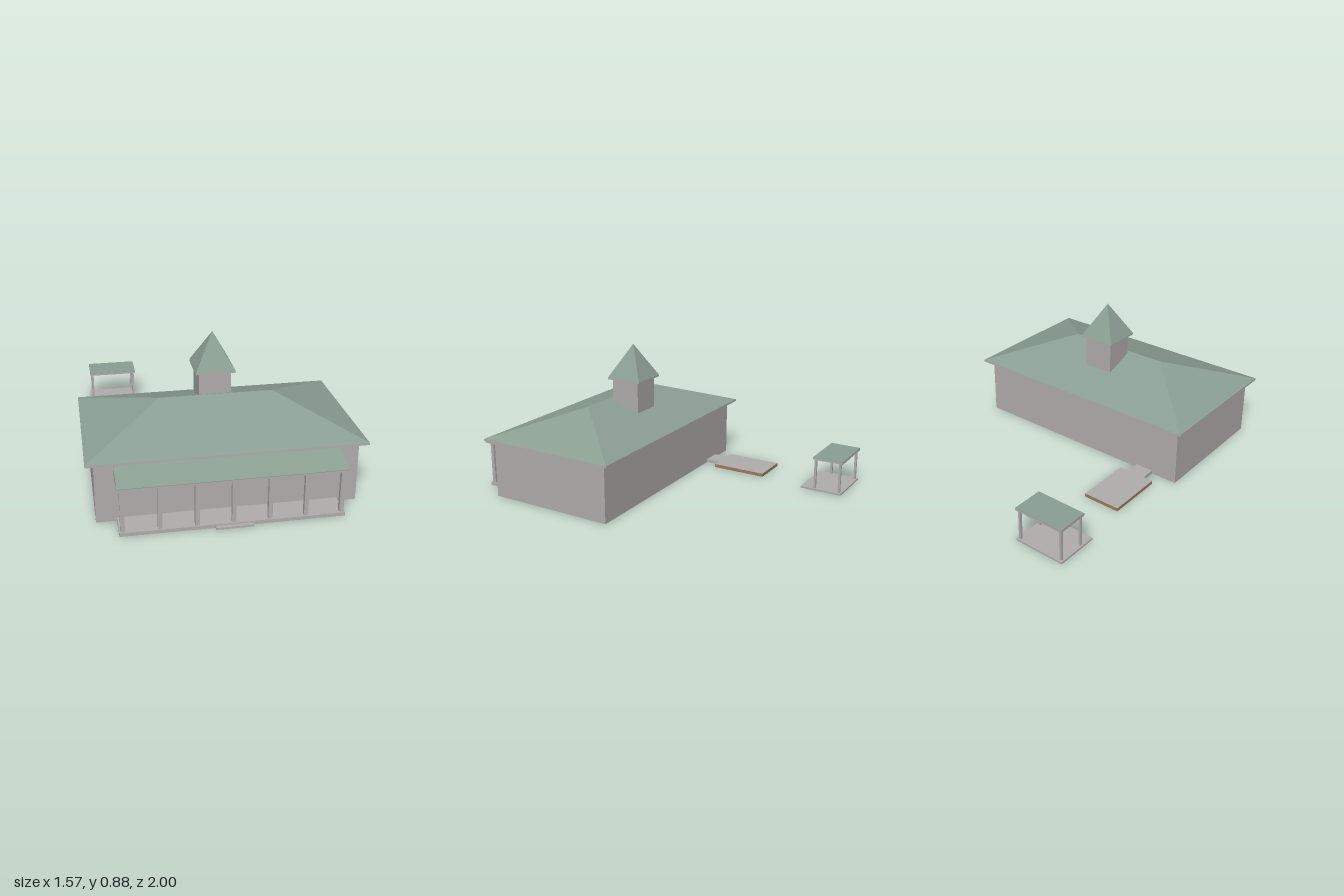
import * as THREE from 'three';
import { ConvexGeometry } from 'three/addons/geometries/ConvexGeometry.js';

export function createModel() {
  const model = new THREE.Group();
  const material = (name, color) => {
    const m = new THREE.MeshStandardMaterial({ color });
    m.name = name;
    return m;
  };
  const grey = material('warmGrey', 0xb1aeac);
  const green = material('roofGreen', 0x8b9f93);
  const brown = material('woodBrown', 0x9c7c5c);

  const group = (name) => {
    const g = new THREE.Group();
    g.name = name;
    model.add(g);
    return g;
  };
  const add = (parent, name, geometry, mat) => {
    const mesh = new THREE.Mesh(geometry, mat);
    mesh.name = name;
    parent.add(mesh);
    return mesh;
  };
  // Box given by its limits on each axis
  const box = (parent, name, [x0, x1], [y0, y1], [z0, z1], mat) => {
    const mesh = add(parent, name, new THREE.BoxGeometry(x1 - x0, y1 - y0, z1 - z0), mat);
    mesh.position.set((x0 + x1) / 2, (y0 + y1) / 2, (z0 + z1) / 2);
    return mesh;
  };
  // Flat-faced solid around a few corner points
  const hull = (parent, name, points, mat) =>
    add(parent, name, new ConvexGeometry(points.map((p) => new THREE.Vector3(...p))), mat);
  // Rectangular ring, open at top and bottom; corners run counter-clockwise
  const ring = (parent, name, outer, inner, y0, y1, mat) => {
    const corners = ([x0, x1, z0, z1]) =>
      [[x0, -z1], [x1, -z1], [x1, -z0], [x0, -z0]].map((p) => new THREE.Vector2(...p));
    const shape = new THREE.Shape(corners(outer));
    shape.holes.push(new THREE.Path(corners(inner)));
    const geo = new THREE.ExtrudeGeometry(shape, { depth: y1 - y0, bevelEnabled: false });
    geo.rotateX(-Math.PI / 2);
    geo.translate(0, y0, 0);
    return add(parent, name, geo, mat);
  };
  const rectangle = (x, z0, z1, y) => [[-x, y, z0], [x, y, z0], [x, y, z1], [-x, y, z1]];

  // Main hall: hollow walls, eave fascia and hipped roof
  const hall = group('hall');
  ring(hall, 'walls', [-0.74, 0.74, 0, 0.815], [-0.737, 0.737, 0.003, 0.812], 0, 0.37, grey);
  ring(hall, 'eaveFascia', [-0.785, 0.785, -0.046, 0.859], [-0.739, 0.739, 0.001, 0.814], 0.364, 0.377, grey);
  hull(hall, 'hippedRoof', [
    ...rectangle(0.785, -0.046, 0.859, 0.377),
    [-0.335, 0.537, 0.405], [0.335, 0.537, 0.405],
  ], green);

  // Roof turret
  const turret = group('turret');
  box(turret, 'turretShaft', [-0.095, 0.095], [0.4, 0.664], [0.197, 0.385], grey);
  box(turret, 'turretEave', [-0.117, 0.117], [0.662, 0.672], [0.172, 0.408], grey);
  hull(turret, 'turretRoof', [...rectangle(0.117, 0.172, 0.408, 0.672), [0, 0.883, 0.29]], green);

  // Porch: floor, step, seven posts and a lean-to roof that runs through the wall
  const porch = group('porch');
  box(porch, 'porchFloor', [-0.625, 0.625], [0, 0.021], [0.815, 0.978], grey);
  box(porch, 'porchStep', [-0.105, 0.105], [0, 0.012], [0.978, 1], grey);
  for (let i = -3; i <= 3; i++) {
    const x = i * 0.202;
    box(porch, 'porchPost', [x - 0.012, x + 0.012], [0.02, 0.286], [0.944, 0.968], grey);
  }
  const slope = (y) => [-0.632, 0.632].flatMap((x) => [[x, 0.294 + y, 0.994], [x, 0.347 + y, 0.79]]);
  hull(porch, 'porchRoofBody', [...rectangle(0.632, 0.79, 0.994, 0.284), ...slope(0)], grey);
  hull(porch, 'porchRoofCover', [...slope(0), ...slope(0.003)], green);

  // Back terrace with timber edges, joined to the hall by a short path
  const terrace = group('terrace');
  box(terrace, 'terraceDeck', [-0.637, -0.402], [0, 0.021], [-0.446, -0.091],
    [brown, brown, grey, grey, brown, brown]);
  box(terrace, 'terracePath', [-0.575, -0.46], [0, 0.021], [-0.091, 0], grey);

  // Detached shelter
  const shelter = group('shelter');
  box(shelter, 'shelterFloor', [-0.681, -0.358], [0, 0.011], [-1, -0.735], grey);
  for (const x of [-0.663, -0.376]) {
    for (const z of [-0.982, -0.822]) {
      box(shelter, 'shelterPost', [x - 0.007, x + 0.007], [0.01, 0.205], [z - 0.007, z + 0.007], grey);
    }
  }
  box(shelter, 'shelterRoof', [-0.679, -0.36], [0.203, 0.217], [-1, -0.807], grey);
  box(shelter, 'shelterRoofCover', [-0.679, -0.36], [0.217, 0.219], [-1, -0.807], green);

  return model;
}
